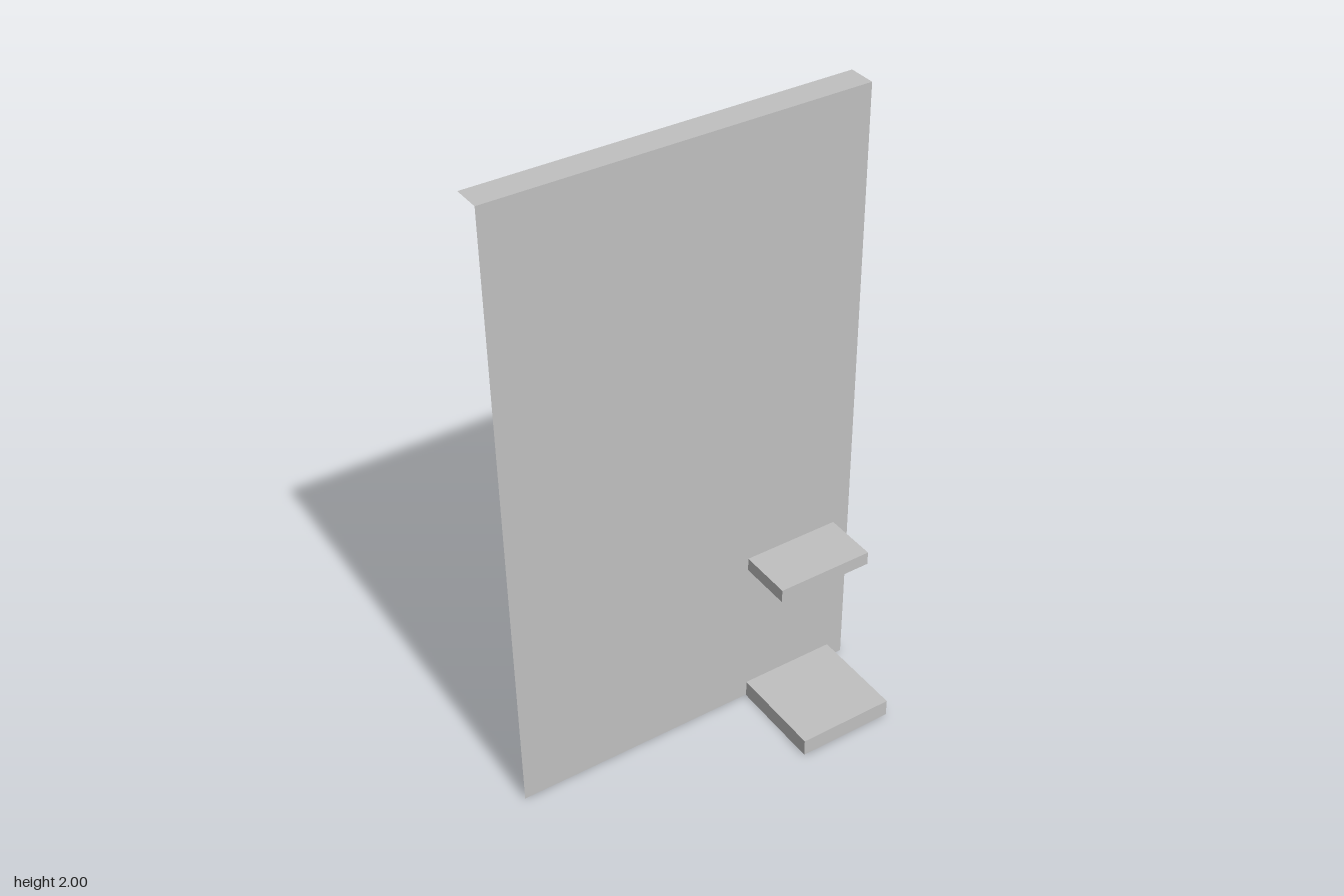
import * as THREE from 'three';

const BACK = -0.2, WALL = -0.114, TOP = 2, HALF = 0.582;

export function createModel() {
  const model = new THREE.Group();
  model.name = 'wallPanelWithSteps';

  const grey = new THREE.MeshStandardMaterial({ color: 0xc0c0c0, side: THREE.DoubleSide });
  grey.name = 'light grey';

  function add(name, geometry, x, y, z) {
    const mesh = new THREE.Mesh(geometry, grey);
    mesh.name = name;
    mesh.position.set(x, y, z);
    model.add(mesh);
    return mesh;
  }

  // Thin upright panel
  add('panel', new THREE.PlaneGeometry(HALF * 2, TOP), 0, TOP / 2, WALL);

  // Flat ledge folded back from the panel's top edge
  const ledge = new THREE.PlaneGeometry(HALF * 2, WALL - BACK).rotateX(-Math.PI / 2);
  add('topLedge', ledge, 0, TOP, (WALL + BACK) / 2);

  // Two slabs standing out from the panel: name, bottom, top, front
  const steps = [
    ['lowerStep', 0, 0.057, 0.2],
    ['upperStep', 0.516, 0.56, 0.063],
  ];
  const back = WALL + 0.003;
  for (const [name, bottom, top, front] of steps) {
    const slab = new THREE.BoxGeometry(0.313, top - bottom, front - back);
    add(name, slab, 0.368, (bottom + top) / 2, (front + back) / 2);
  }

  return model;
}
